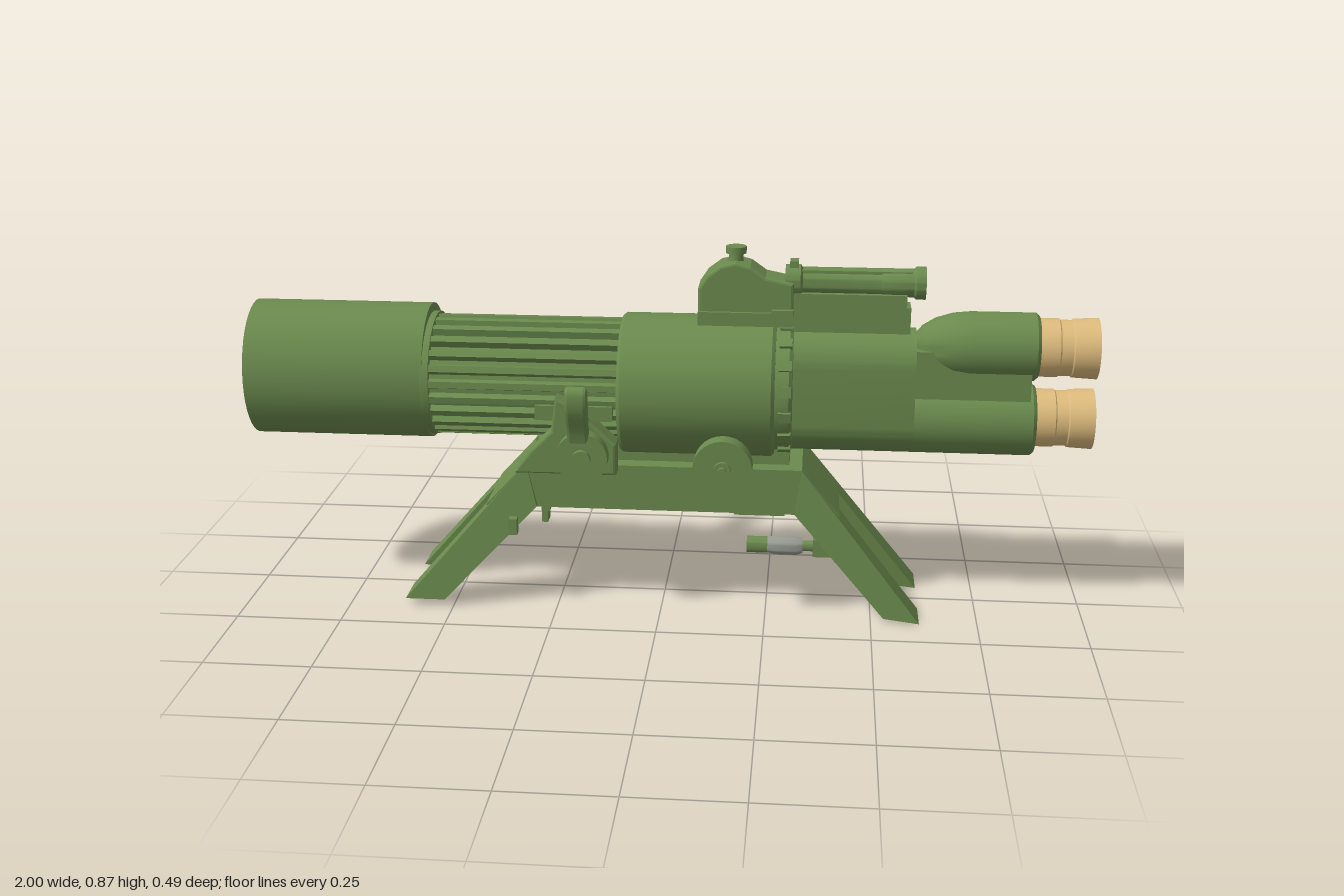
import * as THREE from 'three';
import { toCreasedNormals } from 'three/addons/utils/BufferGeometryUtils.js';
import { ConvexGeometry } from 'three/addons/geometries/ConvexGeometry.js';

const mat = (name, color) => Object.assign(new THREE.MeshStandardMaterial({ color }), { name });

export function createModel() {
  const root = new THREE.Group();
  root.name = 'launcher';
  const green = mat('olive green', 0x6b8a4e);
  const tan = mat('tan', 0xdcba7c);
  const grey = mat('grey', 0x979c92);

  const add = (name, geo, x = 0, y = 0, z = 0, m = green) => {
    const mesh = new THREE.Mesh(geo, m);
    mesh.name = name;
    mesh.position.set(x, y, z);
    root.add(mesh);
    return mesh;
  };
  const box = (name, x0, x1, y0, y1, z0, z1, m = green) =>
    add(name, new THREE.BoxGeometry(x1 - x0, y1 - y0, z1 - z0), (x0 + x1) / 2, (y0 + y1) / 2, (z0 + z1) / 2, m);
  // Profile of [x, radius] pairs spun round a line parallel to x
  const spin = (pts, squash = 1) => {
    const g = new THREE.LatheGeometry(pts.map(([x, r]) => new THREE.Vector2(r, x)), 40);
    g.rotateZ(-Math.PI / 2).scale(1, 1, squash);
    return toCreasedNormals(g, 0.6);
  };
  // Cylinder lying across the model, along z
  const disc = (name, r, z0, z1, x, y) =>
    add(name, new THREE.CylinderGeometry(r, r, z1 - z0, 28).rotateX(Math.PI / 2), x, y, (z0 + z1) / 2);
  const shapeOf = pts => new THREE.Shape(pts.map(p => new THREE.Vector2(...p)));
  const extrude = (shape, depth, bevel = 0) => new THREE.ExtrudeGeometry(shape, {
    depth, curveSegments: 20, bevelEnabled: bevel > 0, bevelSize: bevel, bevelThickness: bevel, bevelOffset: -bevel, bevelSegments: 2,
  });

  // Rear tube, hollow at the back, with a central plug
  add('rearTube', spin([[-0.9, 0], [-0.9, 0.135], [-0.98, 0.142], [-0.98, 0.162], [-0.555, 0.162], [-0.555, 0]], 0.89), 0, 0.551);
  add('rearPlug', spin([[-1, 0], [-1, 0.068], [-0.99, 0.074], [-0.9, 0.074]]), 0, 0.555);

  // Ribbed middle section
  const ribs = 24, gear = [];
  for (let i = 0; i < ribs; i++) {
    for (const [f, r] of [[0, 0.127], [0.3, 0.127], [0.45, 0.143], [0.85, 0.143]]) {
      const a = (i + f) / ribs * Math.PI * 2;
      gear.push([Math.cos(a) * r, Math.sin(a) * r]);
    }
  }
  add('ribbedSection', extrude(shapeOf(gear), 0.47).rotateY(Math.PI / 2), -0.56, 0.543);
  add('ribEndRing', spin([[-0.56, 0.1], [-0.56, 0.147], [-0.54, 0.147], [-0.54, 0.1]]), 0, 0.545);

  // Collar and its stepped front flange
  add('collar', spin([[-0.1, 0], [-0.1, 0.16], [-0.092, 0.167], [0.255, 0.167], [0.263, 0.16], [0.263, 0.152], [0.295, 0.152], [0.303, 0.145], [0.303, 0]]), 0, 0.532);
  for (let i = 0; i < 16; i++) {
    const a = (i + 0.5) / 16 * Math.PI * 2;
    const lug = add('flangeLug', new THREE.BoxGeometry(0.03, 0.016, 0.024), 0.286, 0.532 + Math.cos(a) * 0.15, Math.sin(a) * 0.15);
    lug.rotation.x = a;
  }

  // Front body: two stacked barrels in one rounded casing
  const casing = new THREE.Shape();
  casing.absarc(0, 0.597, 0.082, 0, Math.PI);
  casing.absarc(0, 0.467, 0.085, Math.PI, Math.PI * 2);
  add('frontCasing', toCreasedNormals(extrude(casing, 0.29).rotateY(Math.PI / 2), 0.5), 0.295);
  add('lowerBarrel', spin([[0.5, 0], [0.5, 0.085], [0.858, 0.085], [0.866, 0.078], [0.866, 0]]), 0, 0.467);
  add('upperBarrel', spin([[0.575, 0], [0.58, 0.022], [0.6, 0.045], [0.63, 0.063], [0.67, 0.075], [0.71, 0.079], [0.858, 0.079], [0.866, 0.072], [0.866, 0]]), 0, 0.643);
  box('barrelWeb', 0.55, 0.85, 0.46, 0.64, -0.06, 0.06);

  // Nozzles: open, thin-walled tan sleeves with a green floor
  for (const y of [0.642, 0.472]) {
    add('nozzle', spin([[0.86, 0.068], [0.91, 0.068], [0.913, 0.065], [0.94, 0.065], [0.943, 0.068], [1, 0.071], [1, 0.064], [0.88, 0.06]]), 0, y, 0, tan);
    add('nozzleFloor', spin([[0.87, 0.064], [0.885, 0.064], [0.885, 0]]), 0, y);
  }

  // Stand: deck and four splayed legs
  const deck = shapeOf([[-0.32, 0.36], [-0.42, 0.25], [0.42, 0.25], [0.33, 0.36]]);
  add('standDeck', extrude(deck, 0.22), 0, 0, -0.11);
  const legSides = [
    [[0.33, 0.36], [0.614, 0], [0.53, 0.01], [0.315, 0.255]],
    [[-0.32, 0.36], [-0.615, 0.018], [-0.52, 0.018], [-0.295, 0.255]],
  ];
  for (const side of [-1, 1]) {
    legSides.forEach((pts, i) => {
      const corners = pts.flatMap(([x, y]) => [0.152 - y * 0.11, 0.062 - y * 0.05].map(z => new THREE.Vector3(x, y, z * side)));
      add(i ? 'rearLeg' : 'frontLeg', new ConvexGeometry(corners));
    });
  }
  // Cradle joining the deck to the tube
  box('cradle', -0.3, 0.3, 0.35, 0.41, -0.07, 0.07);

  // Wheels, hubs, rear brackets and paddle levers on both sides
  const bracket = shapeOf([[-0.34, 0.355], [-0.1, 0.355], [-0.1, 0.43], [-0.2, 0.52], [-0.24, 0.54], [-0.25, 0.46], [-0.3, 0.41]]);
  const paddle = new THREE.Shape();
  paddle.moveTo(0.17, 0.41);
  paddle.splineThru([[0.19, 0.47], [0.2, 0.51], [0.213, 0.575], [0.228, 0.585], [0.242, 0.57], [0.24, 0.53], [0.215, 0.47], [0.2, 0.41]].map(p => new THREE.Vector2(...p)));
  paddle.closePath();
  for (const s of [-1, 1]) {
    const across = (name, r, a, b, x, y) => disc(name, r, Math.min(a * s, b * s), Math.max(a * s, b * s), x, y);
    across('frontWheel', 0.068, 0.185, 0.227, 0.15, 0.398);
    across('frontHub', 0.02, 0.22, 0.237, 0.15, 0.398);
    across('frontHubPin', 0.01, 0.23, 0.246, 0.15, 0.398);
    across('frontAxle', 0.033, 0.08, 0.19, 0.15, 0.398);
    across('rearWheel', 0.06, 0.175, 0.208, -0.175, 0.408);
    across('rearHub', 0.022, 0.2, 0.222, -0.175, 0.408);
    across('rearAxle', 0.033, 0.08, 0.18, -0.175, 0.408);
    add('rearBracket', extrude(bracket, 0.045, 0.006), 0, 0, s > 0 ? 0.118 : -0.163);
    box('bracketClamp', -0.29, -0.11, 0.48, 0.515, s > 0 ? 0.12 : -0.15, s > 0 ? 0.15 : -0.12);
    // Lever outline drawn in the y-z plane
    const lever = add('paddleLever', extrude(paddle, 0.035, 0.008).rotateY(s > 0 ? -Math.PI / 2 : Math.PI / 2));
    lever.position.x = s > 0 ? -0.165 : -0.2;
    box('legPeg', -0.36, -0.34, 0.19, 0.23, s * 0.135 - 0.012, s * 0.135 + 0.012);
  }

  // Sight: mount, domed housing, knob and telescope
  box('sightMount', 0.08, 0.3, 0.69, 0.722, -0.055, 0.055);
  const dome = shapeOf([[0.08, 0.715], [0.08, 0.775], [0.1, 0.805], [0.13, 0.828], [0.165, 0.837], [0.2, 0.828], [0.235, 0.803], [0.3, 0.79], [0.3, 0.715]]);
  add('sightHousing', extrude(dome, 0.08, 0.006), 0, 0, -0.04);
  add('sightKnobStem', new THREE.CylinderGeometry(0.016, 0.018, 0.04, 20), 0.165, 0.843);
  add('sightKnob', new THREE.CylinderGeometry(0.024, 0.024, 0.016, 20), 0.165, 0.859);
  box('sightRail', 0.28, 0.57, 0.67, 0.735, -0.03, 0.03);
  box('sightArm', 0.29, 0.56, 0.725, 0.765, -0.035, 0.035);
  add('telescope', spin([[0.28, 0], [0.28, 0.038], [0.315, 0.038], [0.32, 0.03], [0.5, 0.03], [0.505, 0.033], [0.575, 0.033], [0.58, 0.038], [0.602, 0.038], [0.602, 0.026], [0.585, 0.022], [0.585, 0]]), 0, 0.788);
  box('telescopeCap', 0.3, 0.57, 0.795, 0.817, -0.02, 0.02);
  box('telescopePost', 0.29, 0.31, 0.79, 0.837, -0.018, 0.018);
  for (const s of [-1, 1]) box('mountFoot', 0.25, 0.3, 0.712, 0.73, s * 0.047 - 0.012, s * 0.047 + 0.012);

  // Trigger loop, hand grip and cross bar under the deck
  box('triggerPost', 0.168, 0.178, 0.21, 0.256, -0.018, 0.018);
  box('triggerBar', 0.168, 0.29, 0.21, 0.217, -0.018, 0.018);
  box('triggerTop', 0.168, 0.28, 0.23, 0.236, -0.018, 0.018);
  add('gripRod', spin([[0.2, 0], [0.2, 0.02], [0.25, 0.02], [0.25, 0.013], [0.43, 0.013], [0.43, 0]]), 0, 0.128);
  add('gripSleeve', spin([[0.25, 0], [0.25, 0.019], [0.27, 0.023], [0.32, 0.023], [0.335, 0.018], [0.335, 0]]), 0, 0.128, 0, grey);
  box('gripEnd', 0.36, 0.43, 0.107, 0.15, -0.02, 0.02);
  disc('crossBar', 0.011, -0.075, 0.075, 0.42, 0.126);
  box('rearPeg', -0.3, -0.28, 0.205, 0.26, -0.02, 0.02);
  box('rearLatch', -0.3, -0.285, 0.176, 0.225, -0.02, 0.02);

  return root;
}
